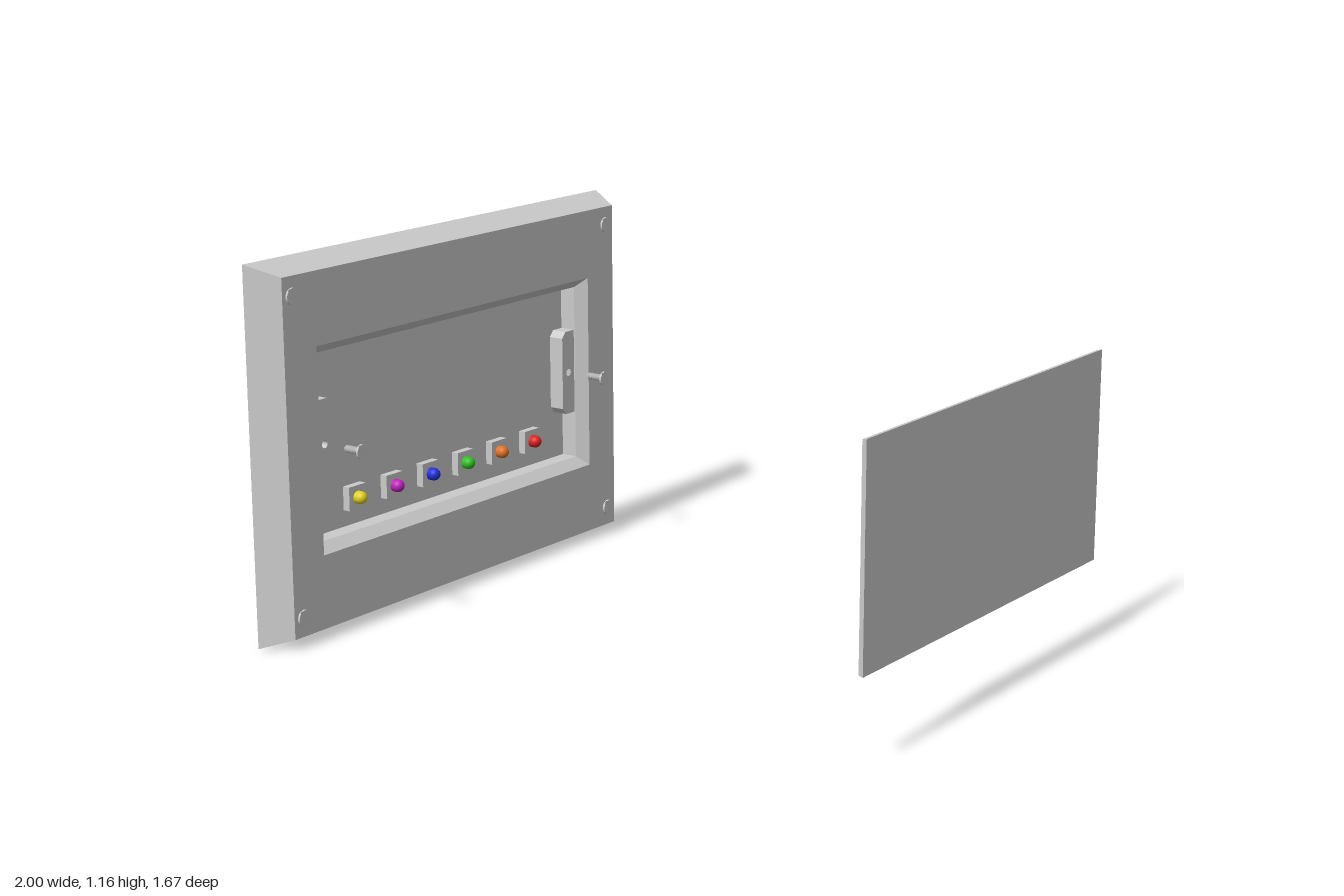
import * as THREE from 'three';

const grey = new THREE.MeshStandardMaterial({ color: 0xcccccc });
const flat = new THREE.MeshStandardMaterial({ color: 0xcccccc, flatShading: true });
const MID_Y = 0.585;

function add(parent, name, geometry, material = grey, x = 0, y = 0, z = 0) {
  const mesh = new THREE.Mesh(geometry, material);
  mesh.name = name;
  mesh.position.set(x, y, z);
  parent.add(mesh);
  return mesh;
}

// Closed skin through rectangular sections [x, halfWidthZ, yBottom, yTop]
function loftRects(sections) {
  const pos = [];
  const rings = sections.map(([x, h, y0, y1]) => [[x, y0, h], [x, y0, -h], [x, y1, -h], [x, y1, h]]);
  const quad = (a, b, c, d) => pos.push(...a, ...b, ...c, ...a, ...c, ...d);
  for (let i = 0; i < rings.length - 1; i++) {
    for (let j = 0; j < 4; j++) {
      const k = (j + 1) % 4;
      quad(rings[i][j], rings[i][k], rings[i + 1][k], rings[i + 1][j]);
    }
  }
  const [a, b, c, d] = rings[0];
  quad(d, c, b, a);
  quad(...rings[rings.length - 1]);
  const g = new THREE.BufferGeometry();
  g.setAttribute('position', new THREE.Float32BufferAttribute(pos, 3));
  g.computeVertexNormals();
  return g;
}

// Slotted screw head facing +x, with its underside at the group origin
function screwHead(name, r, thick, gap) {
  const head = new THREE.Group();
  head.name = name;
  const base = new THREE.CylinderGeometry(r, r, thick * 0.5, 24).rotateZ(-Math.PI / 2);
  add(head, 'headBase', base, grey, thick * 0.25);
  const a = Math.asin(gap / 2 / r);
  const half = new THREE.Shape().absarc(0, 0, r, a, Math.PI - a, false);
  for (const turn of [0, Math.PI]) {
    const g = new THREE.ExtrudeGeometry(half, { depth: thick * 0.5, bevelEnabled: false, curveSegments: 12 });
    g.rotateZ(turn - 0.95).rotateY(Math.PI / 2);
    add(head, 'headHalf', g, grey, thick * 0.5);
  }
  return head;
}

// Loose screw pointing to -x, with a ridged shank
function looseScrew() {
  const screw = new THREE.Group();
  screw.name = 'looseScrew';
  const head = screwHead('screwHead', 0.023, 0.007, 0.007);
  head.position.x = -0.787;
  screw.add(head);
  const profile = [new THREE.Vector2(0, -0.857)];
  for (let i = 0; i < 6; i++) {
    const x = -0.848 + i * 0.009;
    profile.push(new THREE.Vector2(0.006, x), new THREE.Vector2(0.012, x + 0.0045));
  }
  profile.push(new THREE.Vector2(0.007, -0.794), new THREE.Vector2(0.007, -0.787));
  add(screw, 'threadedShank', new THREE.LatheGeometry(profile, 16).rotateZ(-Math.PI / 2), flat);
  return screw;
}

// Mounting tab inside the recess with a screw hole
function mountingTab(side) {
  const u = (z) => -side * z;
  const shape = new THREE.Shape([
    new THREE.Vector2(u(0.625), -0.14), new THREE.Vector2(u(0.575), -0.14),
    new THREE.Vector2(u(0.558), -0.12), new THREE.Vector2(u(0.558), 0.12),
    new THREE.Vector2(u(0.575), 0.14), new THREE.Vector2(u(0.625), 0.14),
  ]);
  shape.holes.push(new THREE.Path().absarc(u(0.59), 0, 0.012, 0, Math.PI * 2, true));
  return new THREE.ExtrudeGeometry(shape, { depth: 0.052, bevelEnabled: false, curveSegments: 10 })
    .rotateY(Math.PI / 2);
}

export function createModel() {
  const model = new THREE.Group();
  model.name = 'wallDisplay';

  // Tapered housing with a bevelled rectangular recess
  add(model, 'housing', loftRects([
    [-1, 0.835, 0, 1.165],
    [-0.895, 0.785, 0.035, 1.13],
    [-0.895, 0.65, 0.265, 0.905],
    [-0.93, 0.62, 0.295, 0.875],
    [-0.985, 0.62, 0.295, 0.875],
  ]), flat);

  // Corner screws
  for (const y of [0.095, 1.07]) {
    for (const z of [-0.746, 0.746]) {
      const head = screwHead('cornerScrew', 0.025, 0.008, 0.01);
      head.position.set(-0.896, y, z);
      model.add(head);
    }
  }

  // Tabs and the loose screws in front of them
  for (const side of [-1, 1]) {
    add(model, 'mountingTab', mountingTab(side), grey, -0.985, MID_Y + 0.005, 0);
    const screw = looseScrew();
    screw.position.set(0, MID_Y + 0.005, side * 0.59);
    model.add(screw);
  }

  // Row of coloured indicator lamps
  const colors = [0xe0d020, 0xc020c0, 0x2030e0, 0x30c020, 0xe07020, 0xe02020];
  colors.forEach((color, i) => {
    const z = 0.425 - i * 0.17;
    const paint = new THREE.MeshStandardMaterial({ color });
    add(model, 'lampSocket', new THREE.BoxGeometry(0.025, 0.075, 0.075), grey, -0.9725, 0.385, z);
    add(model, 'lampStem', new THREE.CylinderGeometry(0.02, 0.02, 0.014, 20).rotateZ(-Math.PI / 2),
      paint, -0.953, 0.385, z);
    add(model, 'lampDome', new THREE.SphereGeometry(0.02, 20, 8, 0, Math.PI * 2, 0, Math.PI / 2)
      .rotateZ(-Math.PI / 2), paint, -0.946, 0.385, z);
  });

  // Separate cover panel
  add(model, 'coverPanel', loftRects([
    [0.985, 0.645, 0.268, 0.902],
    [1, 0.648, 0.265, 0.905],
  ]), flat);

  return model;
}
